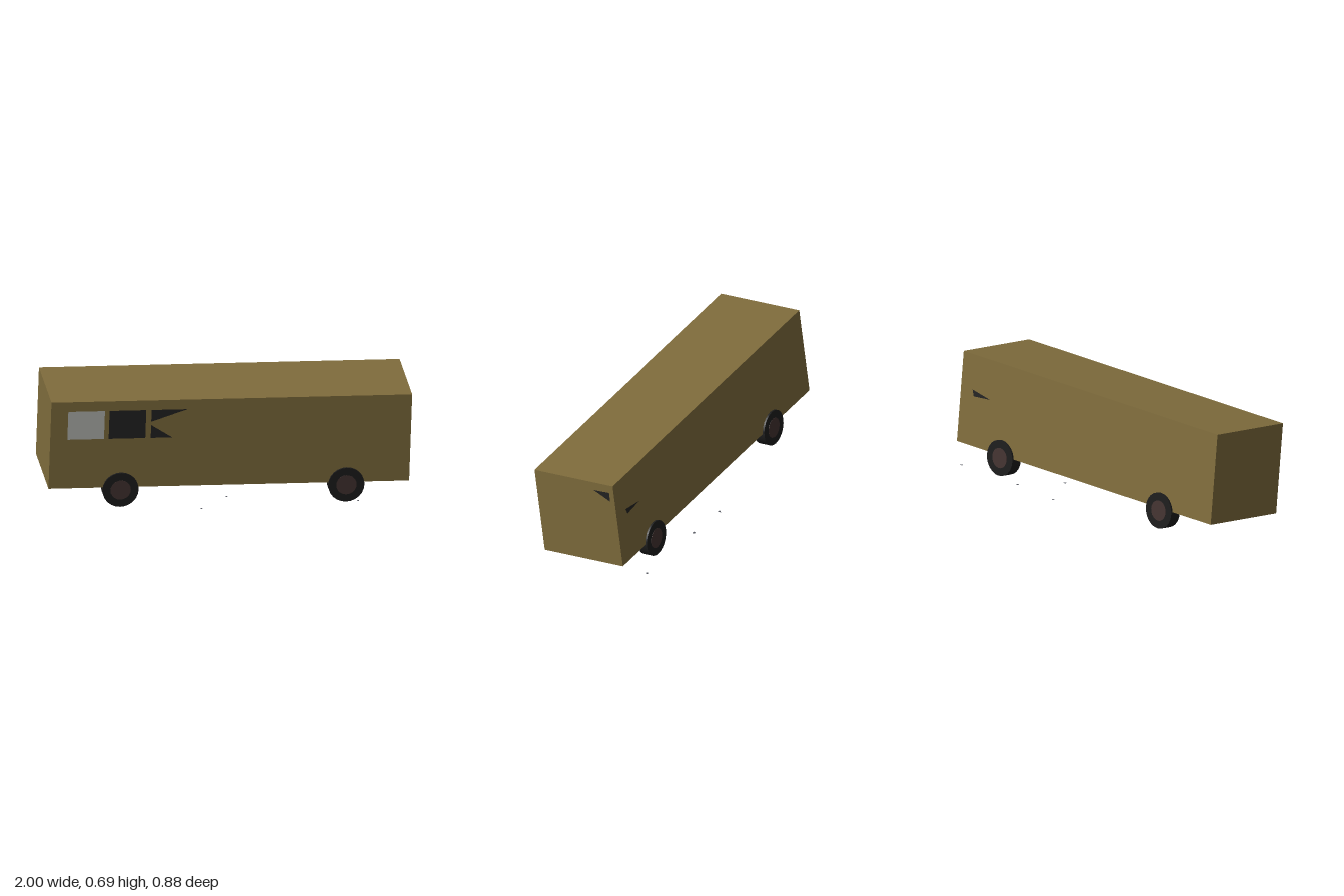
import * as THREE from 'three';

const mat = (name, color) => {
  const m = new THREE.MeshStandardMaterial({ color, side: THREE.DoubleSide });
  m.name = name;
  return m;
};

export function createModel() {
  const paint = mat('olivePaint', 0x7f6c3c);
  const tyreBlack = mat('tyreBlack', 0x1c1c1c);
  const hubBrown = mat('hubBrown', 0x423230);
  const darkGlass = mat('darkGlass', 0x222222);
  const paleGlass = mat('paleGlass', 0xb4b6b0);
  const shardGrey = mat('shardGrey', 0x555860);

  const model = new THREE.Group();
  model.name = 'bus';
  const add = (parent, name, geometry, material, x = 0, y = 0, z = 0) => {
    const mesh = new THREE.Mesh(geometry, material);
    mesh.name = name;
    mesh.position.set(x, y, z);
    parent.add(mesh);
    return mesh;
  };

  // The whole vehicle leans, so it is built upright and placed with a tilted basis
  const vehicle = new THREE.Group();
  vehicle.name = 'vehicle';
  const xAxis = new THREE.Vector3(0.9905, -0.0165, -0.1365).normalize();
  const zAxis = new THREE.Vector3().crossVectors(xAxis, new THREE.Vector3(0.03, 0.993, 0.115)).normalize();
  const yAxis = new THREE.Vector3().crossVectors(zAxis, xAxis);
  vehicle.quaternion.setFromRotationMatrix(new THREE.Matrix4().makeBasis(xAxis, yAxis, zAxis));
  vehicle.position.set(0, 0.4, 0.037);
  model.add(vehicle);

  // Body
  const L = 1.94, H = 0.497, W = 0.488;
  add(vehicle, 'body', new THREE.BoxGeometry(L, H, W), paint);

  // Wheels, standing slightly proud of the sides
  for (const side of [1, -1]) {
    for (const x of [-0.583, 0.632]) {
      const wheel = new THREE.Group();
      wheel.name = 'wheel';
      wheel.position.set(x, -0.261, side * 0.222);
      vehicle.add(wheel);
      const tyre = add(wheel, 'tyre', new THREE.CylinderGeometry(0.097, 0.097, 0.064, 24), tyreBlack);
      tyre.rotation.x = Math.PI / 2;
      const hub = add(wheel, 'hub', new THREE.CylinderGeometry(0.055, 0.055, 0.067, 20), hubBrown);
      hub.rotation.x = Math.PI / 2;
    }
  }

  // Thin panes lying just off a wall
  const pane = (name, points, material) =>
    add(vehicle, name, new THREE.ShapeGeometry(new THREE.Shape(points.map(p => new THREE.Vector2(...p)))), material);
  const gap = 0.002;
  const frontPanes = [
    ['paleWindow', [[-0.878, 0.033], [-0.681, 0.033], [-0.681, 0.194], [-0.878, 0.194]], paleGlass],
    ['darkWindow', [[-0.656, 0.033], [-0.459, 0.033], [-0.459, 0.194], [-0.656, 0.194]], darkGlass],
    ['upperWindowPiece', [[-0.43, 0.194], [-0.43, 0.126], [-0.237, 0.194]], darkGlass],
    ['lowerWindowPiece', [[-0.43, 0.033], [-0.314, 0.033], [-0.43, 0.107]], darkGlass],
  ];
  for (const [name, points, material] of frontPanes) pane(name, points, material).position.z = W / 2 + gap;
  pane('backWindowPiece', [[0.88, 0.057], [0.745, 0.032], [0.868, 0.022]], darkGlass).position.z = -W / 2 - gap;
  const endPane = pane('endWindowPiece', [[0.12, 0.201], [0.217, 0.149], [0.217, 0.203]], darkGlass);
  endPane.rotation.y = Math.PI / 2;
  endPane.position.x = L / 2 + gap;

  // Small flat shards scattered beneath and around
  const shards = [
    [-0.12, 0.03, 0.38], [0.01, 0.045, 0.2], [0.32, 0.045, -0.09], [0.34, 0.095, -0.39],
    [0.79, 0.083, -0.43], [0.715, 0.02, 0.195], [0.075, 0.078, -0.35],
  ];
  shards.forEach((p, i) => {
    const shard = add(model, 'shard', new THREE.CircleGeometry(0.012, 3), shardGrey, ...p);
    shard.rotation.set(-Math.PI / 2, 0, i * 1.3);
  });

  return model;
}
